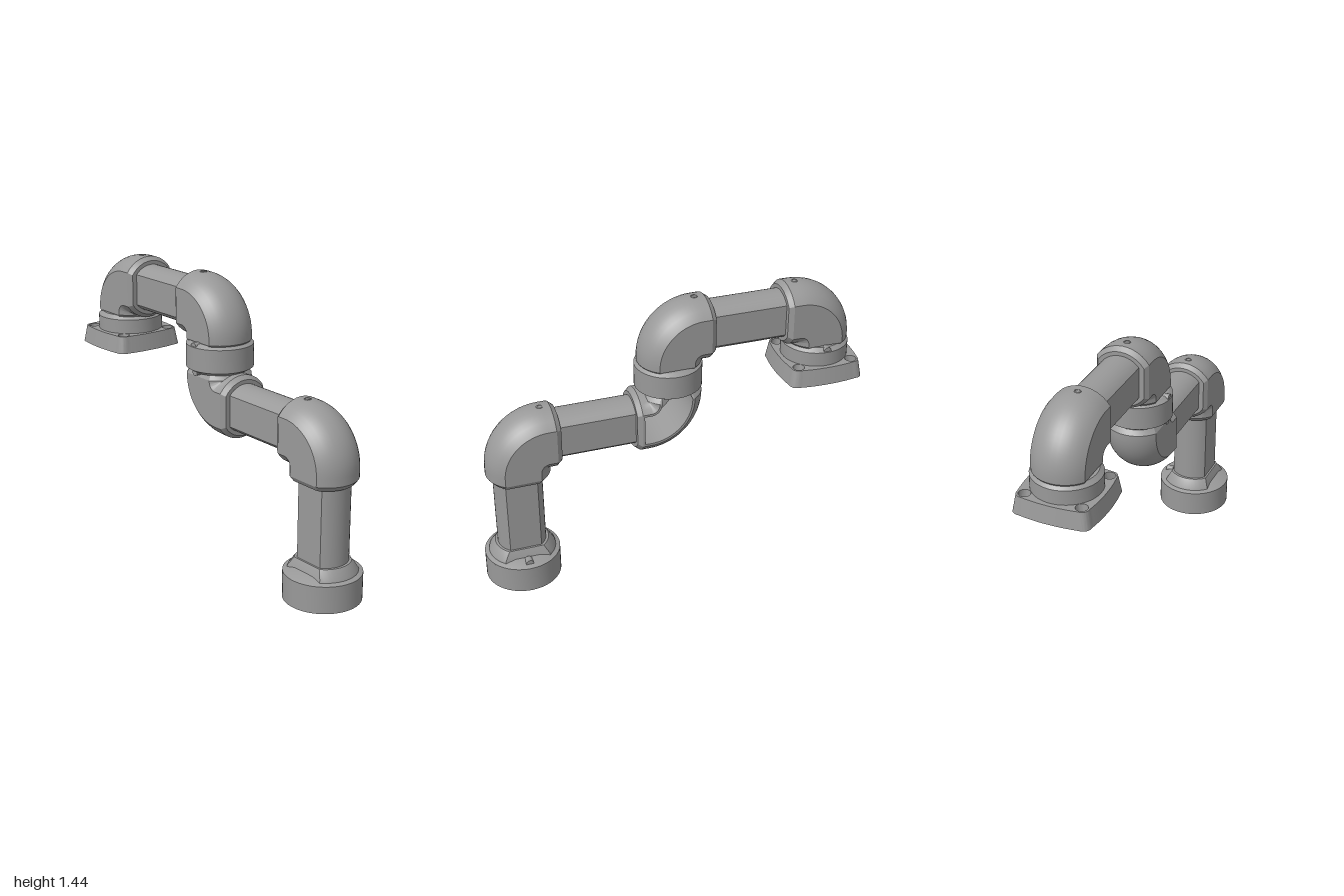
import * as THREE from 'three';
import { mergeGeometries, toCreasedNormals } from 'three/addons/utils/BufferGeometryUtils.js';

const grey = new THREE.MeshStandardMaterial({ color: 0x999999 });
grey.name = 'machine grey';

const R = 0.137;                 // bend radius of the elbow axis
const ER = 0.165, EW = 0.137;    // elbow section: radius, half width
const TR = 0.125, TW = 0.095;    // tube section

// circle cut flat on both z sides, as [s, z] pairs
function flatCircle(r, w, n = 12) {
  const A = Math.asin(w / r), pts = [];
  for (const base of [0, Math.PI]) {
    for (let i = 0; i <= n; i++) {
      const a = base - A + (2 * A * i) / n;
      pts.push([r * Math.cos(a), r * Math.sin(a)]);
    }
  }
  return pts;
}

// the same section with a pocket cut in from +z
function openSection() {
  const pts = flatCircle(ER, EW), f = 0.08, floor = -0.1;
  pts.splice(13, 0, [f, EW], [f, floor], [-f, floor], [-f, EW]);
  return pts;
}

const scaled = (sec, k) => sec.map(([s, z]) => [s * k, z * k]);

// skin a list of stations { sec, at(s, z) -> [x, y, z] }
function loft(stations, capped = true) {
  const n = stations[0].sec.length, pos = [], idx = [];
  for (const { sec, at } of stations) for (const [s, z] of sec) pos.push(...at(s, z));
  for (let i = 0; i < stations.length - 1; i++) {
    for (let j = 0; j < n; j++) {
      const a = i * n + j, b = i * n + (j + 1) % n;
      idx.push(a, b, a + n, b, b + n, a + n);
    }
  }
  if (capped) {
    const last = (stations.length - 1) * n;
    const flat = stations[0].sec.map(([s, z]) => new THREE.Vector2(s, z));
    for (const [a, b, c] of THREE.ShapeUtils.triangulateShape(flat, [])) {
      idx.push(a, c, b, last + a, last + b, last + c);
    }
  }
  const g = new THREE.BufferGeometry();
  g.setAttribute('position', new THREE.Float32BufferAttribute(pos, 3));
  g.setIndex(idx);
  return g;
}

const alongY = (sec, y) => ({ sec, at: (s, z) => [-s, y, z] });
const alongX = (sec, x) => ({ sec, at: (s, z) => [x, s, z] });

function mesh(name, geo, x = 0, y = 0, z = 0) {
  const m = new THREE.Mesh(toCreasedNormals(geo, 0.5), grey);
  m.name = name;
  m.position.set(x, y, z);
  return m;
}

// elbow with its corner at the origin, one leg along -y, one along +x
function elbow(name, x, y, drop, open = false) {
  const full = flatCircle(ER, EW), sec = open ? openSection() : full, end = 0.205;
  const bend = [];
  for (let i = 0; i <= 18; i++) {
    const t = (i / 18) * Math.PI / 2;
    bend.push({
      sec,
      at: (s, z) => {
        const r = Math.max(R + s, 0);
        return [R - r * Math.cos(t), -R + r * Math.sin(t), z];
      }
    });
  }
  const geo = mergeGeometries([
    loft([alongY(scaled(sec, 0.88), -drop), alongY(sec, -drop + 0.025), alongY(sec, -R)]),
    loft(bend, false),
    loft([alongX(sec, R), alongX(sec, 0.172)]),
    loft([alongX(full, 0.17), alongX(full, 0.18), alongX(scaled(full, 0.88), end)])
  ]);
  const g = new THREE.Group();
  g.name = name;
  g.position.set(x, y, 0);
  g.add(mesh('elbowShell', geo));
  // set screw on the outer side
  const ring = new THREE.TorusGeometry(0.014, 0.004, 6, 20).rotateX(Math.PI / 2);
  g.add(mesh('setScrew', ring, 0.13, ER - 0.002, 0));
  return g;
}

function lathe(name, pts, x, y = 0) {
  return mesh(name, new THREE.LatheGeometry(pts.map(p => new THREE.Vector2(...p)), 56), x, y, 0);
}

function circleHole(x, y, r) {
  return new THREE.Path().absarc(x, y, r, 0, Math.PI * 2, true);
}

function extrudeUp(shape, depth) {
  return new THREE.ExtrudeGeometry(shape, { depth, bevelEnabled: false, curveSegments: 24 })
    .rotateX(-Math.PI / 2);
}

// square plate with bulged sides, rounded corners and four corner holes
function flangeLayer(name, y0, y1, cornerHole, centreHole) {
  const c = 0.197, k = 0.15, b = 0.222;
  const s = new THREE.Shape();
  s.moveTo(k, -c);
  s.quadraticCurveTo(c, -c, c, -k);
  s.quadraticCurveTo(b, 0, c, k);
  s.quadraticCurveTo(c, c, k, c);
  s.quadraticCurveTo(0, b, -k, c);
  s.quadraticCurveTo(-c, c, -c, k);
  s.quadraticCurveTo(-b, 0, -c, -k);
  s.quadraticCurveTo(-c, -c, -k, -c);
  s.quadraticCurveTo(0, -b, k, -c);
  for (const sx of [-1, 1]) for (const sy of [-1, 1]) {
    s.holes.push(circleHole(sx * 0.155, sy * 0.155, cornerHole));
  }
  s.holes.push(circleHole(0, 0, centreHole));
  const geo = extrudeUp(s, y1 - y0), p = geo.attributes.position;
  for (let i = 0; i < p.count; i++) {          // sides lean inward going up
    const k2 = 1 - 0.8 * (p.getY(i) + y0 - 0.935);
    p.setX(i, p.getX(i) * k2);
    p.setZ(i, p.getZ(i) * k2);
  }
  return mesh(name, geo, -0.79, y0, 0);
}

export function createModel() {
  const model = new THREE.Group();
  model.name = 'jointedSupportArm';

  // wall flange with recessed corner bolt seats
  model.add(flangeLayer('flangePlate', 0.935, 0.985, 0.016, 0.075));
  model.add(flangeLayer('flangeRim', 0.985, 1.025, 0.032, 0.075));

  // swivel collars
  model.add(lathe('flangeCollar',
    [[0, 1.02], [0.172, 1.02], [0.172, 1.1], [0.15, 1.12], [0, 1.12]], -0.79));
  model.add(lathe('middleCollar',
    [[0, 0.965], [0.14, 0.965], [0.172, 0.985], [0.172, 1.105], [0.15, 1.12], [0, 1.12]], 0.005));

  // elbows
  const upperLeft = elbow('upperLeftElbow', -0.79, 1.278, 0.178);
  const upperMiddle = elbow('upperMiddleElbow', 0, 1.278, 0.178);
  upperMiddle.rotation.y = Math.PI;
  const lowerMiddle = elbow('lowerMiddleElbow', 0, 0.805, 0.165, true);
  lowerMiddle.rotation.x = Math.PI;
  const lowerRight = elbow('lowerRightElbow', 0.8, 0.805, 0.205);
  lowerRight.rotation.y = Math.PI;
  model.add(upperLeft, upperMiddle, lowerMiddle, lowerRight);

  // flat-sided tubes
  const tube = flatCircle(TR, TW);
  model.add(mesh('upperTube', loft([alongX(tube, -0.62), alongX(tube, -0.17)]), 0, 1.278));
  model.add(mesh('lowerTube', loft([alongX(tube, 0.175), alongX(tube, 0.63)]), 0, 0.805));
  model.add(mesh('verticalTube', loft([alongY(tube, 0.16), alongY(tube, 0.63)]), 0.805));

  // round base with bore and bolt holes
  const ring = new THREE.Shape().absarc(0, 0, 0.195, 0, Math.PI * 2, false);
  ring.holes.push(circleHole(0, 0, 0.088));
  for (let i = 0; i < 6; i++) {
    const a = (i / 6) * Math.PI * 2;
    ring.holes.push(circleHole(0.14 * Math.cos(a), 0.14 * Math.sin(a), 0.011));
  }
  model.add(mesh('baseRing', extrudeUp(ring, 0.135), 0.805));
  model.add(lathe('baseLid',
    [[0, 0.13], [0.195, 0.13], [0.195, 0.14], [0.14, 0.162], [0, 0.162]], 0.805));
  model.add(mesh('boreKey', new THREE.BoxGeometry(0.03, 0.12, 0.05), 0.805, 0.075, 0.07));
  model.add(mesh('baseNeck', loft([
    alongY(flatCircle(0.175, 0.13), 0.14), alongY(flatCircle(0.17, 0.125), 0.16),
    alongY(flatCircle(0.138, 0.105), 0.203)]), 0.805));

  // clamp screws on the collars and base
  for (const [x, y, z] of [[-0.79, 1.105, -0.148], [0.005, 1.107, 0.148],
    [0.005, 0.975, 0.14], [0.805, 0.152, -0.15]]) {
    const screw = new THREE.CylinderGeometry(0.02, 0.02, 0.04, 18).rotateX(Math.PI / 2);
    model.add(mesh('clampScrew', screw, x, y, z));
  }
  return model;
}
